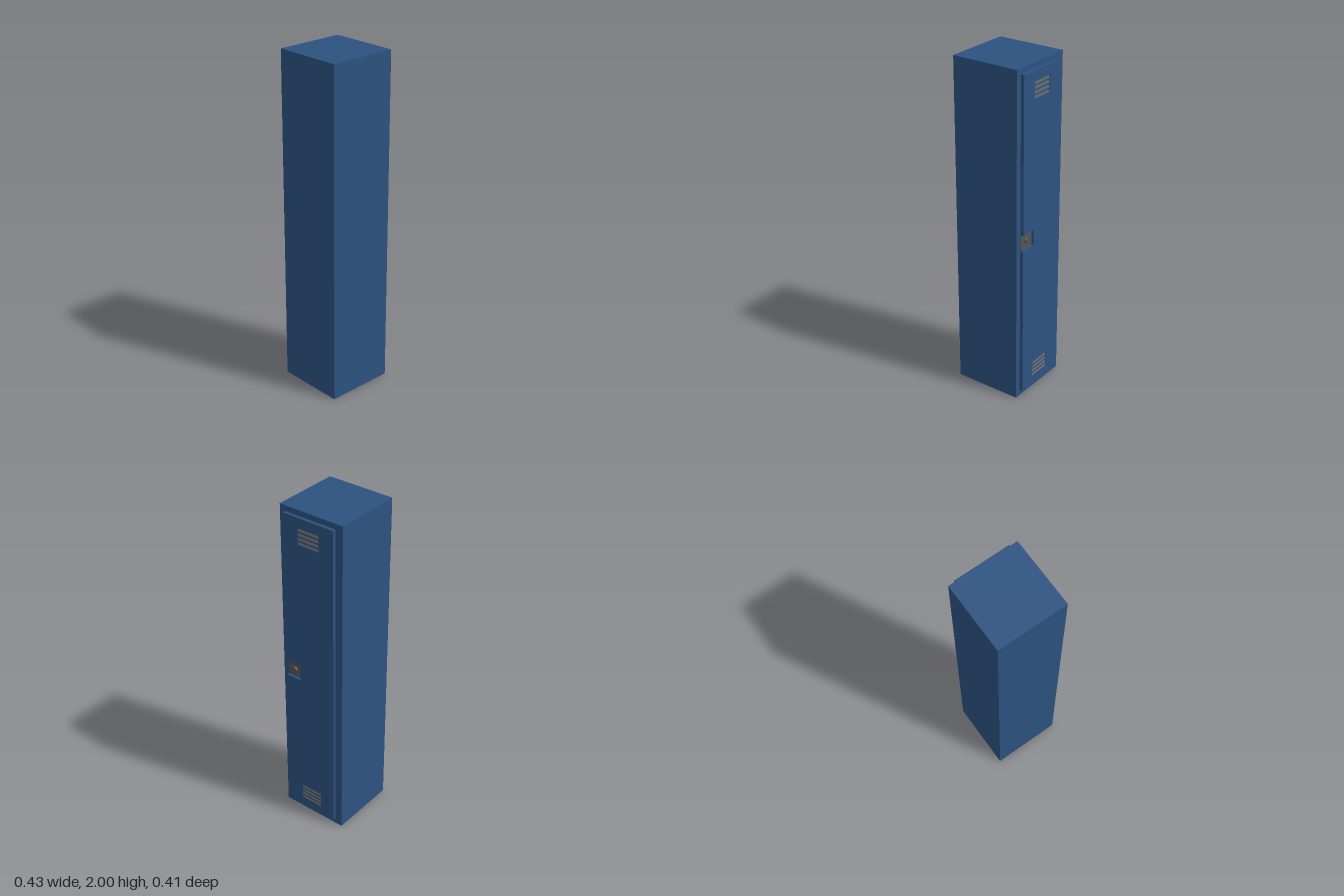
import * as THREE from 'three';

const BODY_FACE = 0.197, DOOR_FACE = 0.217;

export function createModel() {
  const model = new THREE.Group();
  const blue = new THREE.MeshStandardMaterial({ color: 0x2d5280 });
  blue.name = 'blue paint';
  const gray = new THREE.MeshStandardMaterial({ color: 0x555555 });
  gray.name = 'gray metal';

  const add = (name, geometry, material, x, y, z) => {
    const mesh = new THREE.Mesh(geometry, material);
    mesh.name = name;
    mesh.position.set(x, y, z);
    model.add(mesh);
    return mesh;
  };

  // Cabinet with a bare metal underside (box face order: +x -x +y -y +z -z)
  add('cabinet', new THREE.BoxGeometry(0.414, 2, 0.415),
    [blue, blue, blue, gray, blue, blue], -0.01, 1, -0.001);

  // Door outline, drawn with u = -z, notched at the edge for the latch
  const outline = new THREE.Shape([
    [-0.171, 0.035], [0.162, 0.035], [0.162, 1.967], [-0.171, 1.967],
    [-0.171, 1.048], [-0.073, 1.048], [-0.073, 0.952], [-0.171, 0.952],
  ].map(([u, y]) => new THREE.Vector2(u, y)));

  // Two groups of four vent slots, each with a sloping louver inside
  const slotHeight = 0.017, pitch = 0.026, u0 = -0.073, u1 = 0.066;
  for (const base of [0.09, 1.812]) {
    for (let i = 0; i < 4; i++) {
      const low = base + i * pitch, high = low + slotHeight;
      outline.holes.push(new THREE.Path([
        new THREE.Vector2(u0, low), new THREE.Vector2(u0, high),
        new THREE.Vector2(u1, high), new THREE.Vector2(u1, low),
      ]));
      // Wedge profile: high at the cabinet, low at the door face
      const wedge = new THREE.Shape([
        new THREE.Vector2(BODY_FACE, low), new THREE.Vector2(DOOR_FACE - 0.001, low),
        new THREE.Vector2(BODY_FACE + 0.001, high),
      ]);
      add('ventLouver', new THREE.ExtrudeGeometry(wedge,
        { depth: u1 - u0, bevelEnabled: false }), gray, 0, 0, -u1);
    }
  }

  const door = add('door', new THREE.ExtrudeGeometry(outline,
    { depth: DOOR_FACE - BODY_FACE, bevelEnabled: false }), blue, BODY_FACE, 0, 0);
  door.rotation.y = Math.PI / 2;

  // Recessed latch plate and its knob
  add('latchPlate', new THREE.BoxGeometry(0.006, 0.096, 0.098), gray, BODY_FACE + 0.003, 1, 0.122);
  const knob = add('latchKnob', new THREE.CylinderGeometry(0.014, 0.018, 0.01, 16), gray,
    BODY_FACE + 0.01, 1, 0.122);
  knob.rotation.z = -Math.PI / 2;

  return model;
}
